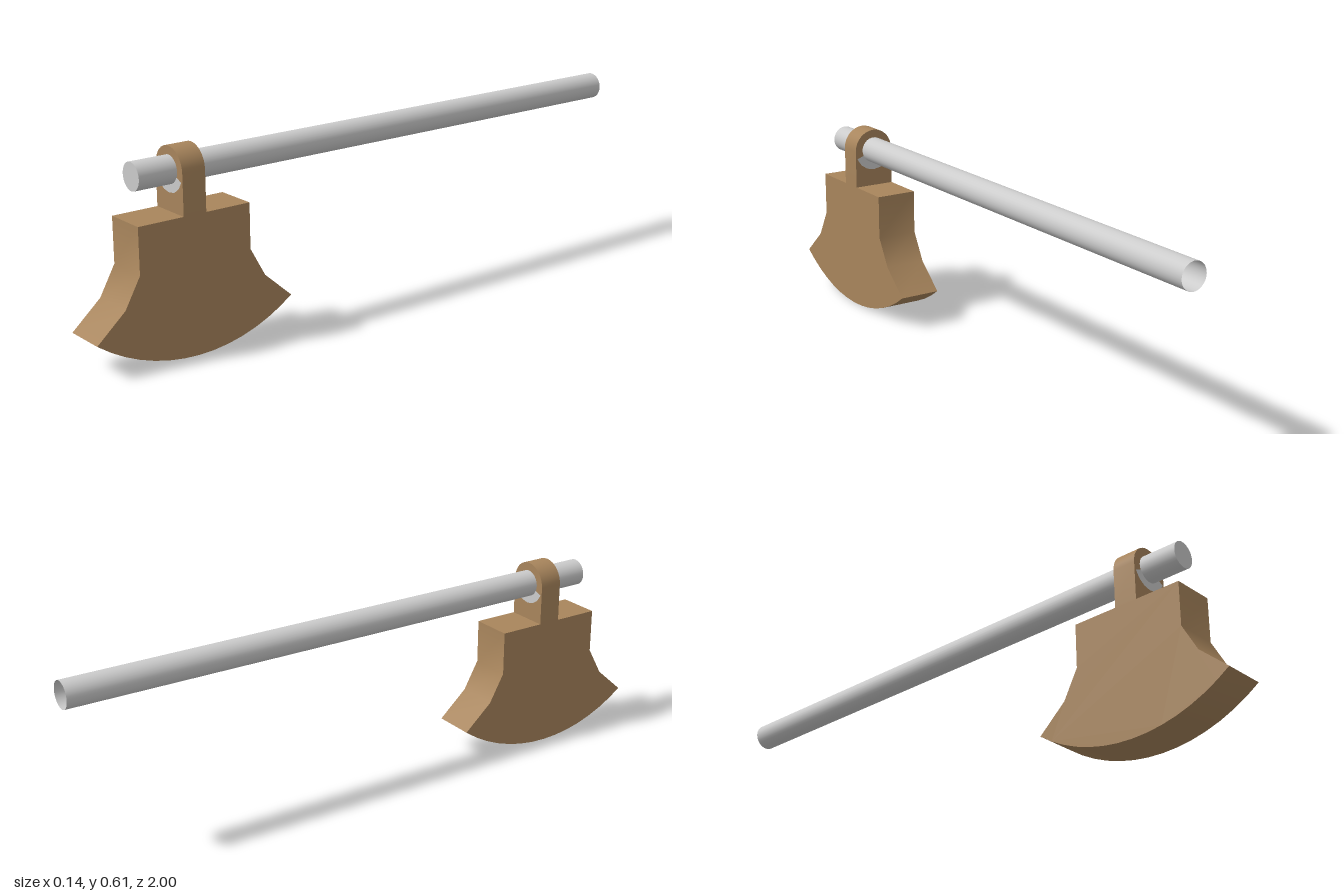
import * as THREE from 'three';
import { toCreasedNormals } from 'three/addons/utils/BufferGeometryUtils.js';

const AXIS_Y = 0.543; // height of the rod
const HEAD_Z = 0.672; // middle of the blade and its lug
const HALF = 0.068; // half thickness of the blade

const brown = new THREE.MeshStandardMaterial({ color: 0xa8855c });
const grey = new THREE.MeshStandardMaterial({ color: 0xcccccc, side: THREE.DoubleSide });

function extrude(shape, depth, curveSegments) {
  const geo = new THREE.ExtrudeGeometry(shape, { depth, curveSegments, bevelEnabled: false });
  geo.translate(0, 0, -depth / 2);
  return toCreasedNormals(geo, 0.6);
}

export function createModel() {
  const model = new THREE.Group();
  model.name = 'swingingBlade';
  const add = (name, geometry, material, x, y, z) => {
    const mesh = new THREE.Mesh(geometry, material);
    mesh.name = name;
    mesh.position.set(x, y, z);
    model.add(mesh);
    return mesh;
  };

  // Rod: a tube, open at the back and closed at the front
  const rodFront = 0.832, rodBack = -1, radius = 0.042;
  const tube = new THREE.CylinderGeometry(radius, radius, rodFront - rodBack, 32, 1, true);
  tube.rotateX(Math.PI / 2);
  add('rod', tube, grey, 0, AXIS_Y, (rodFront + rodBack) / 2);
  add('rodFrontCap', new THREE.CircleGeometry(radius, 32), grey, 0, AXIS_Y, rodFront);

  // Lug: upright plate with a round top and a hole for the rod
  const lugDepth = 0.075, lugFoot = 0.42 - AXIS_Y;
  const lug = new THREE.Shape();
  lug.moveTo(-HALF, lugFoot);
  lug.lineTo(HALF, lugFoot);
  lug.absarc(0, 0, HALF, 0, Math.PI, false);
  lug.closePath();
  const hole = new THREE.Path();
  hole.absarc(0, 0, radius - 0.002, 0, Math.PI * 2, true);
  lug.holes.push(hole);
  add('lug', extrude(lug, lugDepth, 8), brown, 0, AXIS_Y, HEAD_Z);

  // Wear plates: grey crescents under the rod on both lug faces
  for (const side of [1, -1]) {
    const crescent = new THREE.RingGeometry(radius - 0.004, HALF, 6, 1, Math.PI * 1.125, Math.PI * 0.75);
    add(side > 0 ? 'frontWearPlate' : 'backWearPlate', crescent, grey,
      0, AXIS_Y, HEAD_Z + side * (lugDepth / 2 + 0.001));
  }

  // Blade: flared sides and a cutting edge curved about the rod
  const flare = [[0.185, 0.42], [0.185, 0.28], [0.235, 0.19], [0.328, 0.108]];
  const edgeRadius = (0.328 ** 2 + 0.108 ** 2) / (2 * 0.108);
  const sweep = Math.asin(0.328 / edgeRadius);
  const points = flare.map(([z, y]) => new THREE.Vector2(-z, y));
  const steps = 14;
  for (let i = 1; i < steps; i++) {
    const a = sweep * (2 * i / steps - 1);
    points.push(new THREE.Vector2(edgeRadius * Math.sin(a), edgeRadius * (1 - Math.cos(a))));
  }
  flare.slice().reverse().forEach(([z, y]) => points.push(new THREE.Vector2(z, y)));
  const blade = extrude(new THREE.Shape(points), HALF * 2, 1);
  blade.rotateY(Math.PI / 2);
  add('blade', blade, brown, 0, 0, HEAD_Z);

  return model;
}
